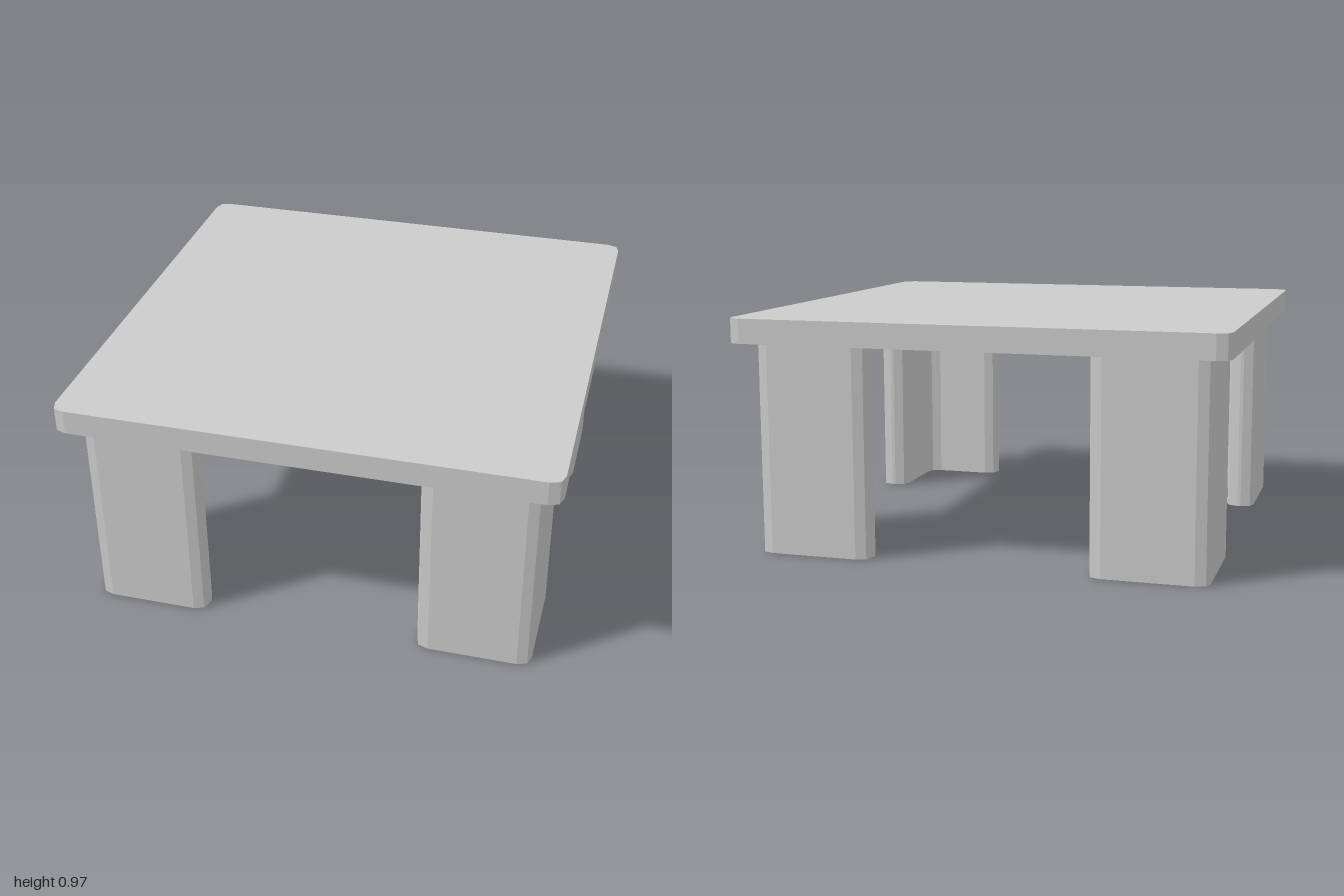
import * as THREE from 'three';

const material = new THREE.MeshStandardMaterial({ color: 0xcccccc, flatShading: true });

// Upright slab from a plan outline [x, z] with faceted, rounded corners
function roundedSlab(name, points, radius, y0, y1) {
  const corners = points.map(([x, z]) => new THREE.Vector2(x, -z));
  const shape = new THREE.Shape();
  const n = corners.length;
  corners.forEach((c, i) => {
    const toward = (p) => c.clone().add(p.clone().sub(c).setLength(radius));
    const a = toward(corners[(i + n - 1) % n]);
    const b = toward(corners[(i + 1) % n]);
    if (i === 0) shape.moveTo(a.x, a.y);
    else shape.lineTo(a.x, a.y);
    shape.quadraticCurveTo(c.x, c.y, b.x, b.y);
  });
  shape.closePath();
  const geometry = new THREE.ExtrudeGeometry(shape, { depth: y1 - y0, bevelEnabled: false, curveSegments: 2 });
  geometry.rotateX(-Math.PI / 2).translate(0, y0, 0);
  const mesh = new THREE.Mesh(geometry, material);
  mesh.name = name;
  return mesh;
}

export function createModel() {
  const group = new THREE.Group();
  group.name = 'table';

  // Square top
  group.add(roundedSlab('tableTop', [[-1, -1], [1, -1], [1, 1], [-1, 1]], 0.055, 0.87, 0.97));

  // L-shaped corner legs, mirrored to all four corners
  const x0 = 0.45, x1 = 0.925, z0 = 0.415, z1 = 0.915, t = 0.125;
  const outline = [[x1, z0], [x1, z1], [x0, z1], [x0, z1 - t], [x1 - t, z1 - t], [x1 - t, z0]];
  for (const [sx, xName] of [[1, 'Left'], [-1, 'Right']]) {
    for (const [sz, zName] of [[1, 'front'], [-1, 'back']]) {
      const points = outline.map(([x, z]) => [x * sx, z * sz]);
      group.add(roundedSlab(`${zName}${xName}Leg`, points, 0.055, 0, 0.87));
    }
  }
  return group;
}
